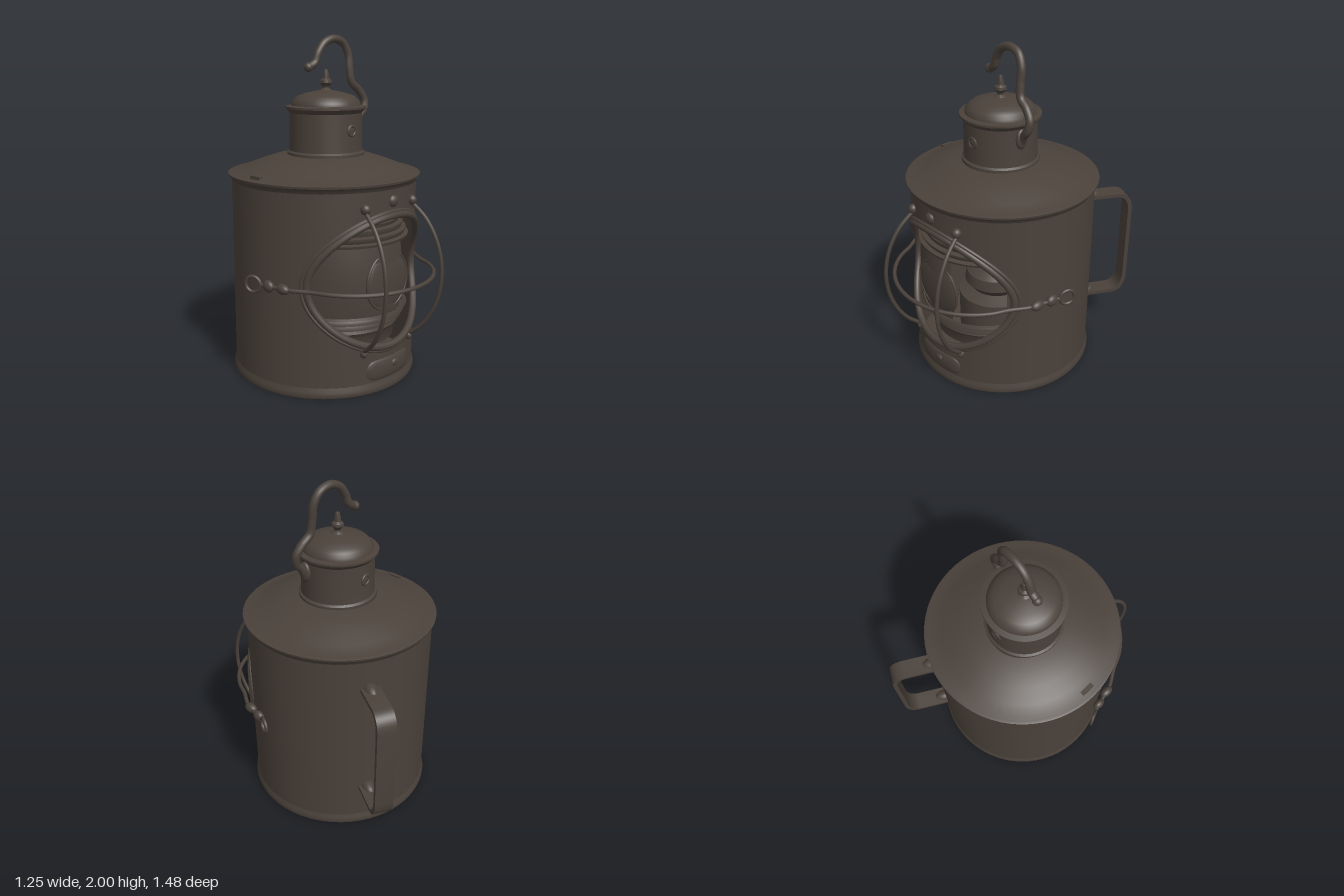
import * as THREE from 'three';
import { toCreasedNormals } from 'three/addons/utils/BufferGeometryUtils.js';
import { ParametricGeometry } from 'three/addons/geometries/ParametricGeometry.js';

export function createModel() {
  const model = new THREE.Group();
  model.name = 'lantern';
  const bronze = new THREE.MeshStandardMaterial({ color: 0x4a413a, side: THREE.DoubleSide });
  bronze.name = 'dark bronze';

  const R = 0.55, CZ = 0.01, MID = 0.64; // body radius, body axis z, opening height

  const add = (name, geo, x = 0, y = 0, z = 0) => {
    const m = new THREE.Mesh(geo, bronze);
    m.name = name;
    m.position.set(x, y, z);
    model.add(m);
    return m;
  };
  const lathe = (name, pts, z, start = 0, length = Math.PI * 2, segs = 64) =>
    add(name, toCreasedNormals(new THREE.LatheGeometry(
      pts.map(p => new THREE.Vector2(p[0], p[1])), segs, start, length), 0.6), 0, 0, z);
  const tube = (name, pts, r, closed = false, segs = 64) =>
    add(name, new THREE.TubeGeometry(new THREE.CatmullRomCurve3(
      pts.map(p => new THREE.Vector3(...p)), closed), segs, r, 10, closed));
  const blob = (name, x, y, z, sx, sy, sz) => {
    const m = add(name, new THREE.SphereGeometry(1, 20, 14), x, y, z);
    m.scale.set(sx, sy, sz);
    return m;
  };

  // Body wall: a bent front panel around the oval opening, and the rest of the cylinder
  const EDGE = 1.2;
  const openingAt = a => [Math.asin(0.445 * Math.cos(a) / R), MID + 0.38 * Math.sin(a)];
  add('bodyFront', new ParametricGeometry((u, v, out) => {
    const a = v * Math.PI * 2, c = Math.cos(a), s = Math.sin(a);
    const k = 1 / Math.max(Math.abs(c), Math.abs(s));
    const [t0, y0] = openingAt(a);
    const t = THREE.MathUtils.lerp(t0, EDGE * c * k, u);
    const y = THREE.MathUtils.lerp(y0, 0.6 + 0.6 * s * k, u);
    out.set(R * Math.sin(t), y, R * Math.cos(t));
  }, 10, 96), 0, 0, CZ);
  add('bodyBack', new THREE.CylinderGeometry(R, R, 1.2, 64, 1, true, EDGE, Math.PI * 2 - 2 * EDGE), 0, 0.6, CZ);
  lathe('base', [[0, 0], [0.557, 0], [0.562, 0.015], [0.557, 0.035], [R, 0.06]], CZ);

  // Roof with a rolled rim
  lathe('roof', [[R, 1.165], [0.558, 1.185], [0.57, 1.195], [0.572, 1.207], [0.558, 1.212], [0.535, 1.213],
    [0.47, 1.24], [0.38, 1.274], [0.3, 1.3], [0.22, 1.312]], CZ);
  add('roofLatch', new THREE.BoxGeometry(0.025, 0.02, 0.08), -0.52, 1.222, CZ);

  // Chimney, domed cap and finial
  const CHZ = 0.025;
  lathe('chimney', [[0.228, 1.305], [0.228, 1.325], [0.216, 1.335], [0.214, 1.4], [0.214, 1.555],
    [0.222, 1.565], [0.236, 1.58], [0.236, 1.592], [0.205, 1.598]], CHZ);
  lathe('cap', [[0.205, 1.595], [0.202, 1.615], [0.185, 1.635], [0.165, 1.652], [0.12, 1.667], [0.06, 1.68],
    [0.03, 1.683]], CHZ);
  lathe('finial', [[0.04, 1.68], [0.02, 1.695], [0.02, 1.705], [0.036, 1.725], [0.034, 1.74], [0.02, 1.752],
    [0.018, 1.775], [0.012, 1.8], [0, 1.808]], CHZ, 0, Math.PI * 2, 24);
  for (const s of [1, -1]) {
    add('ventRing', new THREE.TorusGeometry(0.028, 0.008, 8, 24), 0, 1.46, CHZ + s * 0.213);
    blob('ventDish', 0, 1.46, CHZ + s * 0.212, 0.026, 0.026, 0.006);
  }

  // Hanging hook
  tube('hook', [[-0.115, 1.815, 0.0], [-0.07, 1.84, 0.005], [-0.045, 1.9, 0.01], [0.0, 1.955, 0.015],
    [0.07, 1.977, 0.02], [0.14, 1.955, 0.025], [0.175, 1.89, 0.035], [0.178, 1.8, 0.045], [0.19, 1.725, 0.052],
    [0.245, 1.675, 0.06], [0.28, 1.62, 0.07], [0.272, 1.565, 0.078], [0.24, 1.525, 0.075], [0.21, 1.47, 0.07]],
  0.024, false, 90);
  blob('hookTip', -0.115, 1.815, 0, 0.027, 0.027, 0.027);
  blob('hookFoot', 0.218, 1.5, 0.07, 0.022, 0.06, 0.04);

  // Strap handle, set off to one side of the back
  const strap = new THREE.Shape();
  strap.moveTo(0.53, 1.0);
  strap.lineTo(0.73, 1.0);
  strap.quadraticCurveTo(0.82, 0.99, 0.82, 0.88);
  strap.lineTo(0.82, 0.39);
  strap.quadraticCurveTo(0.81, 0.27, 0.73, 0.265);
  strap.lineTo(0.53, 0.265);
  strap.lineTo(0.53, 0.287);
  strap.lineTo(0.72, 0.287);
  strap.quadraticCurveTo(0.785, 0.29, 0.795, 0.4);
  strap.lineTo(0.795, 0.88);
  strap.quadraticCurveTo(0.79, 0.975, 0.72, 0.978);
  strap.lineTo(0.53, 0.978);
  const strapGeo = new THREE.ExtrudeGeometry(strap, { depth: 0.11, bevelEnabled: false, curveSegments: 10 });
  strapGeo.translate(0, 0, -0.055);
  add('handle', toCreasedNormals(strapGeo, 0.6)).rotation.y = Math.PI / 3;
  for (const y of [0.988, 0.277]) {
    blob('handleFoot', 0.27, y, -0.468, 0.04, 0.04, 0.075).rotation.y = -Math.PI / 6;
  }

  // Rounded rim following the opening over the curved wall
  const rim = (grow, lift) => Array.from({ length: 48 }, (_, i) => {
    const [t, y] = openingAt(i / 48 * Math.PI * 2);
    return [(R + lift) * Math.sin(t * grow), MID + (y - MID) * grow, CZ + (R + lift) * Math.cos(t * grow)];
  });
  tube('openingRim', rim(1, 0), 0.022, true, 128);
  tube('openingBead', rim(1.06, 0), 0.012, true, 128);

  // Ribbed lens: stepped rings above and below, a plain band with a gap between
  const LZ = 0.14;
  const ribs = [[0.405, 0.85], [0.41, 0.865], [0.385, 0.872], [0.395, 0.89], [0.395, 0.9], [0.368, 0.906],
    [0.376, 0.925], [0.376, 0.937], [0.35, 0.943], [0.358, 0.965], [0.34, 0.99], [0.33, 1.06]];
  lathe('lensRibsTop', ribs, LZ, -1.5, 3, 40);
  lathe('lensRibsBottom', ribs.map(([r, y]) => [r, 2 * MID + 0.02 - y]).reverse(), LZ, -1.5, 3, 40);
  const band = [[0.395, 0.45], [0.405, 0.54], [0.409, 0.65], [0.405, 0.76], [0.395, 0.855]];
  lathe('lensBand', band, LZ, -1.5, 1.8, 28);
  lathe('lensBandSide', band, LZ, 1.12, 0.38, 8);
  blob('lensBullseye', 0, 0.635, 0.522, 0.17, 0.17, 0.03);
  add('bullseyeRing', new THREE.TorusGeometry(0.168, 0.008, 8, 40), 0, 0.635, 0.527);

  // Oil burner inside
  lathe('burner', [[0.24, 0.01], [0.24, 0.42], [0.16, 0.45], [0.2, 0.5], [0.19, 0.57], [0.11, 0.63], [0.06, 0.66],
    [0.1, 0.69], [0.1, 0.72], [0.05, 0.76], [0.03, 0.82], [0, 0.84]], 0.06, 0, Math.PI * 2, 32);

  // Wire guard: one horizontal bow and two upright bows
  const bow = [];
  for (let i = -6; i <= 6; i++) {
    const a = i / 6 * 1.25;
    bow.push([0.49 * Math.sin(a), MID, 0.237 + 0.49 * Math.cos(a)]);
  }
  const bowEnd = s => [[s * 0.525, MID, 0.29], [s * 0.55, MID, 0.2], [s * 0.575, MID, 0.11]];
  tube('guardBow', [...bowEnd(-1).reverse(), ...bow, ...bowEnd(1)], 0.012, false, 100);
  for (const s of [-1, 1]) {
    const upright = [];
    for (let i = -5; i <= 5; i++) {
      const k = i / 5, f = Math.sqrt(1 - (k * 0.86) ** 2);
      const g = (f - 0.51) / 0.49;
      upright.push([s * (0.195 + 0.045 * g), 0.66 + 0.405 * k, 0.525 + 0.2 * g]);
    }
    tube('guardUpright', upright, 0.012, false, 48);
    blob('uprightFootTop', s * 0.195, 1.075, 0.53, 0.028, 0.03, 0.03);
    blob('uprightFootBottom', s * 0.195, 0.25, 0.528, 0.02, 0.025, 0.025);

    // Side fastenings with pull rings
    blob('guardKnob', s * 0.538, MID, 0.245, 0.028, 0.03, 0.045);
    blob('guardKnob', s * 0.56, MID, 0.15, 0.026, 0.035, 0.04);
    const ring = add('pullRing', new THREE.TorusGeometry(0.045, 0.01, 8, 28), s * 0.597, MID, 0.062);
    ring.rotation.y = s > 0 ? 1.16 : Math.PI - 1.16;
  }
  blob('openingLug', 0, 1.1, 0.555, 0.035, 0.035, 0.025);

  // Curved plate below the opening, wrapped to the wall
  const plate = new THREE.CapsuleGeometry(0.062, 0.24, 8, 24, 12);
  plate.rotateZ(Math.PI / 2).scale(1, 1, 0.28);
  const p = plate.attributes.position;
  for (let i = 0; i < p.count; i++) {
    const t = p.getX(i) / R, r = R + p.getZ(i);
    p.setXYZ(i, r * Math.sin(t), p.getY(i), r * Math.cos(t));
  }
  plate.computeVertexNormals();
  add('plate', plate, 0.005, 0.13, CZ - 0.004);
  blob('plateStud', 0.03, 0.145, 0.568, 0.03, 0.022, 0.012);

  return model;
}
